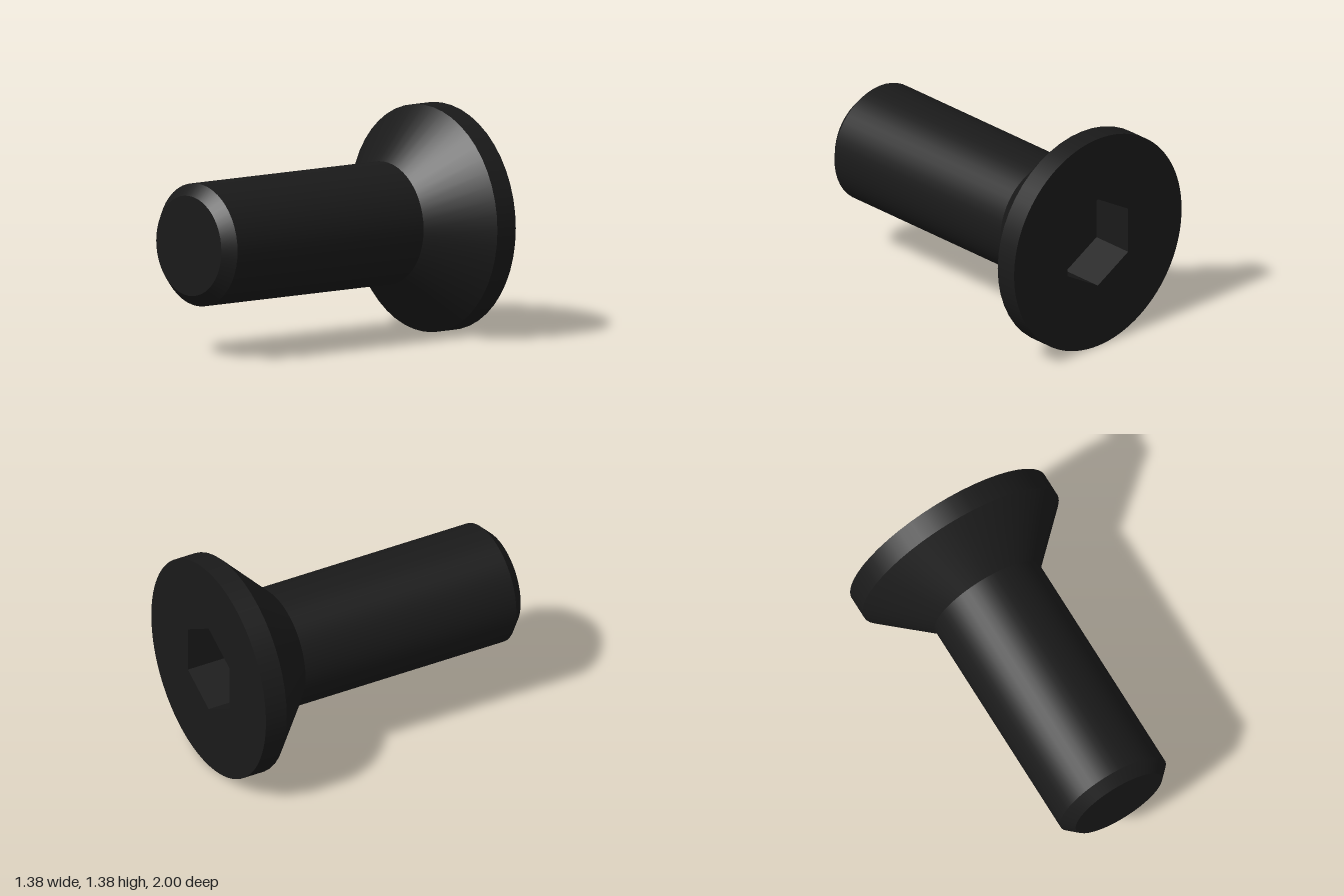
import * as THREE from 'three';

const SEGMENTS = 48;
const HEAD_R = 0.692, SHAFT_R = 0.374, TIP_R = 0.305;
const HEX_R = 0.289, HEX_DEPTH = 0.28;

export function createModel() {
  const model = new THREE.Group();
  model.name = 'countersunkScrew';
  model.position.y = HEAD_R;

  const steel = new THREE.MeshStandardMaterial({ color: 0x1a1a1a });
  const socketSteel = new THREE.MeshStandardMaterial({
    color: 0x1a1a1a, flatShading: true, side: THREE.DoubleSide,
  });

  const add = (name, geometry, material = steel) => {
    const mesh = new THREE.Mesh(geometry, material);
    mesh.name = name;
    model.add(mesh);
    return mesh;
  };

  // One smooth band of revolution about z; separate bands keep the edges sharp
  const band = (name, r0, z0, r1, z1) => {
    const profile = [new THREE.Vector2(r0, z0), new THREE.Vector2(r1, z1)];
    add(name, new THREE.LatheGeometry(profile, SEGMENTS).rotateX(Math.PI / 2));
  };

  band('headRim', HEAD_R, -1, HEAD_R, -0.855);
  band('headCone', HEAD_R, -0.855, SHAFT_R, -0.54);
  band('shaft', SHAFT_R, -0.54, SHAFT_R, 0.93);
  band('tipChamfer', SHAFT_R, 0.93, TIP_R, 1);
  add('tipFace', new THREE.CircleGeometry(TIP_R, SEGMENTS)).position.z = 1;

  // Flat head face with a hexagonal opening, a corner at top and bottom
  const face = new THREE.Shape().absarc(0, 0, HEAD_R, 0, Math.PI * 2);
  const corners = Array.from({ length: 6 }, (_, i) => {
    const a = Math.PI / 2 - i * Math.PI / 3;
    return new THREE.Vector2(HEX_R * Math.cos(a), HEX_R * Math.sin(a));
  });
  face.holes.push(new THREE.Path(corners));
  const faceGeometry = new THREE.ShapeGeometry(face, SEGMENTS).rotateY(Math.PI);
  add('headFace', faceGeometry).position.z = -1;

  // Hex socket walls and floor
  const walls = new THREE.CylinderGeometry(HEX_R, HEX_R, HEX_DEPTH, 6, 1, true).rotateX(Math.PI / 2);
  add('socketWalls', walls, socketSteel).position.z = -1 + HEX_DEPTH / 2;
  const floor = new THREE.CircleGeometry(HEX_R, 6, Math.PI / 2).rotateY(Math.PI);
  add('socketFloor', floor, socketSteel).position.z = -1 + HEX_DEPTH;

  return model;
}
